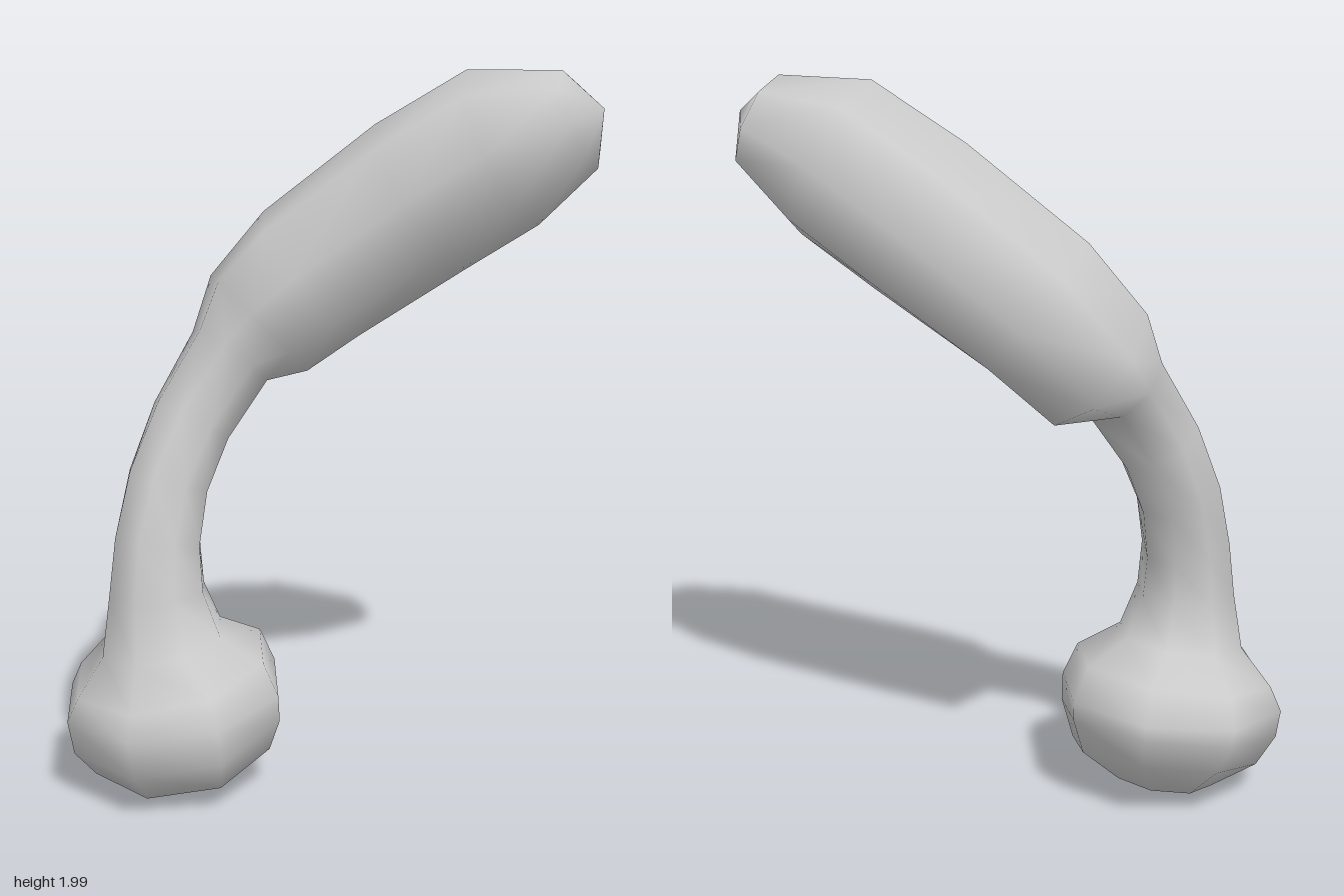
import * as THREE from 'three';

const SIDES = 8;

// Cross-sections from base to tip: centre x, y, z, half-height, half-width
const BALL = [
  [-0.385, 0.04, 0.065, 0.145, 0.145],
  [-0.385, 0.11, 0.08, 0.265, 0.27],
  [-0.39, 0.2, 0.105, 0.31, 0.32],
  [-0.395, 0.275, 0.115, 0.315, 0.325],
  [-0.4, 0.355, 0.12, 0.28, 0.29],
];
const NECK = [
  [-0.415, 0.44, 0.14, 0.175, 0.19],
  [-0.425, 0.58, 0.145, 0.137, 0.15],
  [-0.425, 0.72, 0.13, 0.123, 0.137],
  [-0.41, 0.88, 0.085, 0.117, 0.125],
  [-0.365, 1.04, 0.02, 0.117, 0.125],
  [-0.28, 1.21, -0.06, 0.125, 0.135],
];
const HEAD = [
  [-0.225, 1.29, -0.145, 0.19, 0.245],
  [-0.085, 1.43, -0.18, 0.216, 0.24],
  [0.215, 1.65, -0.22, 0.23, 0.22],
  [0.44, 1.79, -0.215, 0.225, 0.197],
  [0.645, 1.87, -0.205, 0.135, 0.12],
];
const BOTTOM = [-0.375, 0, 0.065];
const TIP = [0.708, 1.9, -0.2];

// Closed skin over rings that stand square to the path, with a pole at each end
function loft(rings, start, end) {
  const path = [start, ...rings, end].map((p) => new THREE.Vector3(p[0], p[1], p[2]));
  const positions = [...start];
  const index = [];
  const at = (i, j) => 1 + i * SIDES + (j % SIDES);

  rings.forEach(([, , , high, wide], i) => {
    const t = path[i + 2].clone().sub(path[i]).normalize();
    const w = new THREE.Vector3(0, 0, 1).addScaledVector(t, -t.z).normalize();
    const u = new THREE.Vector3().crossVectors(w, t);
    for (let j = 0; j < SIDES; j++) {
      const a = (j / SIDES) * Math.PI * 2;
      const p = path[i + 1].clone()
        .addScaledVector(u, Math.cos(a) * high)
        .addScaledVector(w, Math.sin(a) * wide);
      positions.push(p.x, p.y, p.z);
    }
  });
  positions.push(...end);

  const last = rings.length - 1;
  const pole = 1 + rings.length * SIDES;
  for (let j = 0; j < SIDES; j++) {
    index.push(0, at(0, j + 1), at(0, j));
    for (let i = 0; i < last; i++) {
      index.push(at(i, j), at(i, j + 1), at(i + 1, j));
      index.push(at(i, j + 1), at(i + 1, j + 1), at(i + 1, j));
    }
    index.push(at(last, j), at(last, j + 1), pole);
  }

  const geometry = new THREE.BufferGeometry();
  geometry.setAttribute('position', new THREE.Float32BufferAttribute(positions, 3));
  geometry.setIndex(index);
  geometry.computeVertexNormals();
  return geometry;
}

export function createModel() {
  const group = new THREE.Group();
  group.name = 'curvedClub';

  // Ball foot, bent neck and long head in one smooth skin
  const body = new THREE.Mesh(
    loft([...BALL, ...NECK, ...HEAD], BOTTOM, TIP),
    new THREE.MeshStandardMaterial({ color: 0xcccccc })
  );
  body.name = 'ballNeckAndHead';
  group.add(body);
  return group;
}
